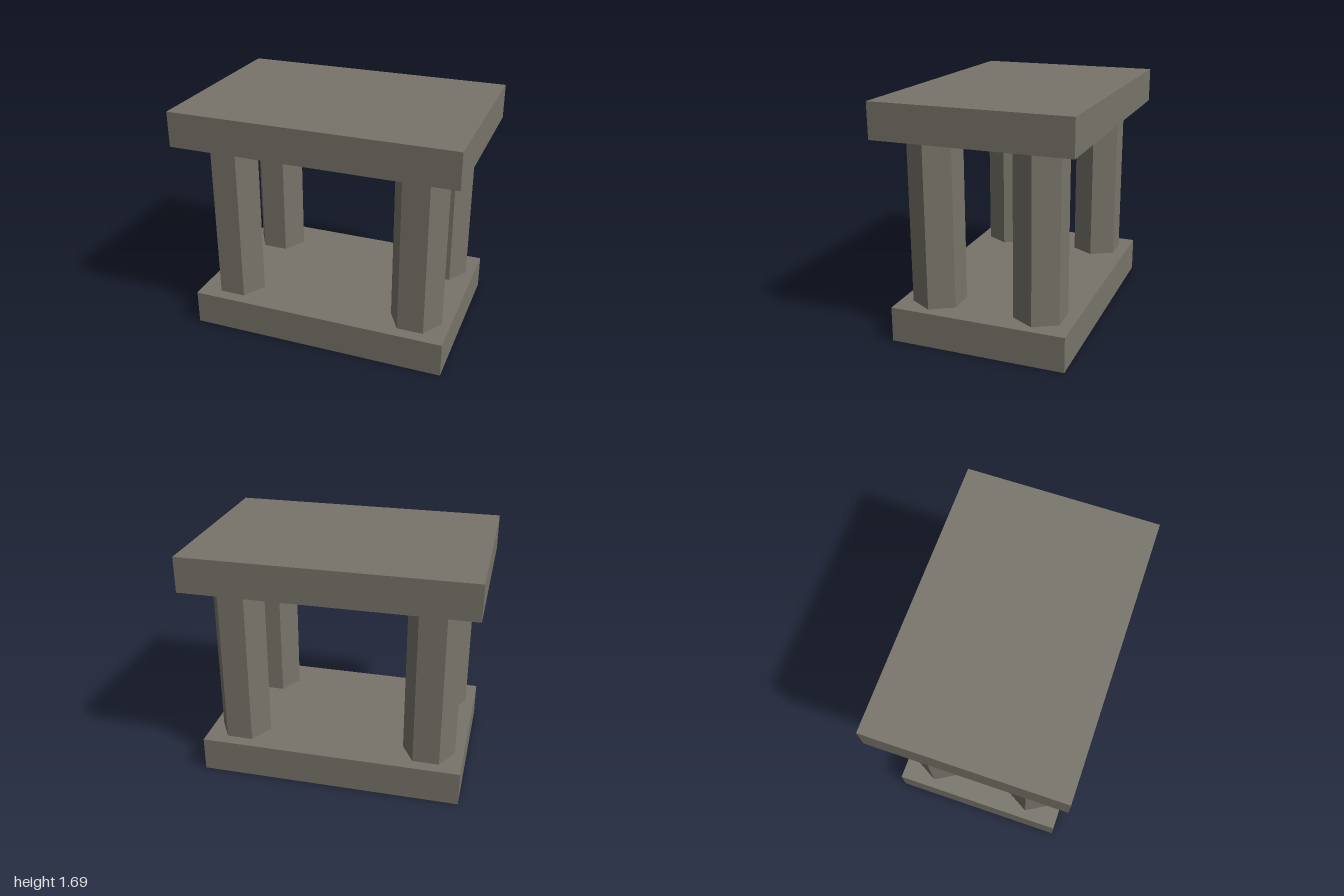
import * as THREE from 'three';

export function createModel() {
  const model = new THREE.Group();
  const stone = new THREE.MeshStandardMaterial({ color: 0x78746a, flatShading: true });

  const add = (name, geometry, x, y, z) => {
    const mesh = new THREE.Mesh(geometry, stone);
    mesh.name = name;
    mesh.position.set(x, y, z);
    model.add(mesh);
  };

  // Slabs: the top overhangs the base on every side
  const slabHeight = 0.25, columnHeight = 1.1875;
  add('baseSlab', new THREE.BoxGeometry(1.875, slabHeight, 1.25), 0, slabHeight / 2, 0);
  add('topSlab', new THREE.BoxGeometry(2, slabHeight, 1.375), 0, slabHeight * 1.5 + columnHeight, 0);

  // Four hexagonal columns, with corners pointing along x
  const column = new THREE.CylinderGeometry(0.1875, 0.1875, columnHeight, 6).rotateY(Math.PI / 2);
  for (const [side, x] of [['Left', 0.6875], ['Right', -0.6875]]) {
    for (const [end, z] of [['front', 0.375], ['back', -0.375]]) {
      add(`${end}${side}Column`, column, x, slabHeight + columnHeight / 2, z);
    }
  }

  return model;
}
